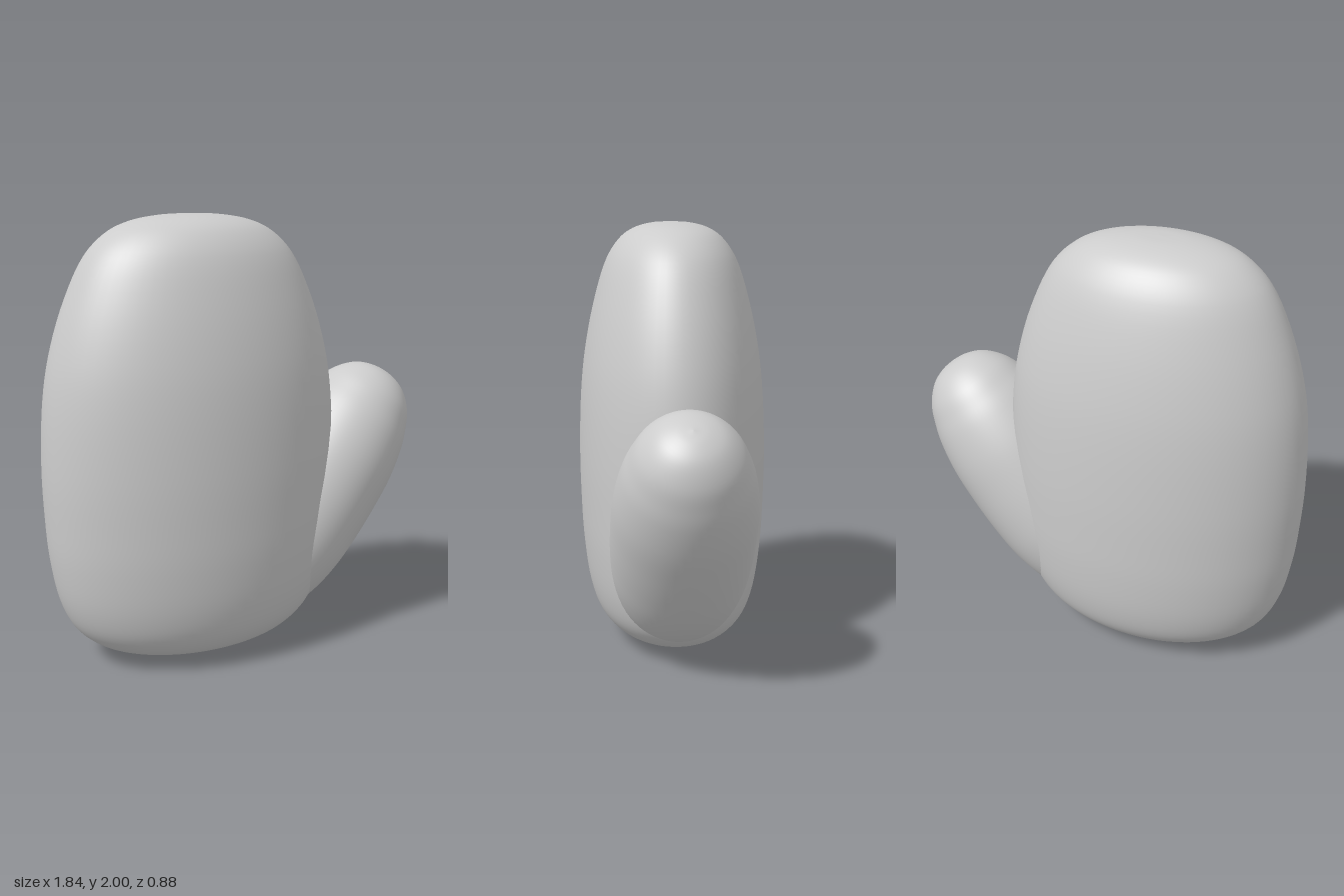
import * as THREE from 'three';

// Smooth closed solid of revolution through [radius, height] points, bottom to top
function roundedSolid(profile, material, name) {
  const curve = new THREE.CatmullRomCurve3(
    profile.map(([r, y]) => new THREE.Vector3(r, y, 0)), false, 'centripetal');
  const points = curve.getPoints(72).map(p => new THREE.Vector2(Math.max(p.x, 0), p.y));
  const mesh = new THREE.Mesh(new THREE.LatheGeometry(points, 64), material);
  mesh.name = name;
  return mesh;
}

export function createModel() {
  const group = new THREE.Group();
  group.name = 'mitten';
  const grey = new THREE.MeshStandardMaterial({ color: 0xcccccc });
  grey.name = 'soft grey';

  // Palm and fingers: one oval pillow, flattened front to back
  const palm = roundedSolid([
    [0, 0.005], [0.2, 0.015], [0.38, 0.05], [0.49, 0.095], [0.58, 0.175],
    [0.64, 0.3], [0.68, 0.5], [0.695, 0.7], [0.7, 0.92], [0.685, 1.2],
    [0.652, 1.4], [0.58, 1.63], [0.48, 1.83], [0.38, 1.925], [0.28, 1.97],
    [0.14, 1.995], [0, 2],
  ], grey, 'palm');
  palm.scale.z = 0.63;
  palm.position.x = -0.222;
  group.add(palm);

  // Thumb: round capsule leaning outward, its root buried in the palm
  const thumb = roundedSolid([
    [0, 0.12], [0.1, 0.14], [0.19, 0.21], [0.25, 0.3], [0.283, 0.392],
    [0.308, 0.524], [0.318, 0.68], [0.318, 0.844], [0.308, 1.024],
    [0.28, 1.178], [0.253, 1.26], [0.212, 1.349], [0.142, 1.425],
    [0.07, 1.458], [0, 1.468],
  ], grey, 'thumb');
  thumb.rotation.z = -Math.atan2(0.6, 0.8);
  thumb.position.set(-0.062, 0.046, 0);
  group.add(thumb);

  return group;
}
